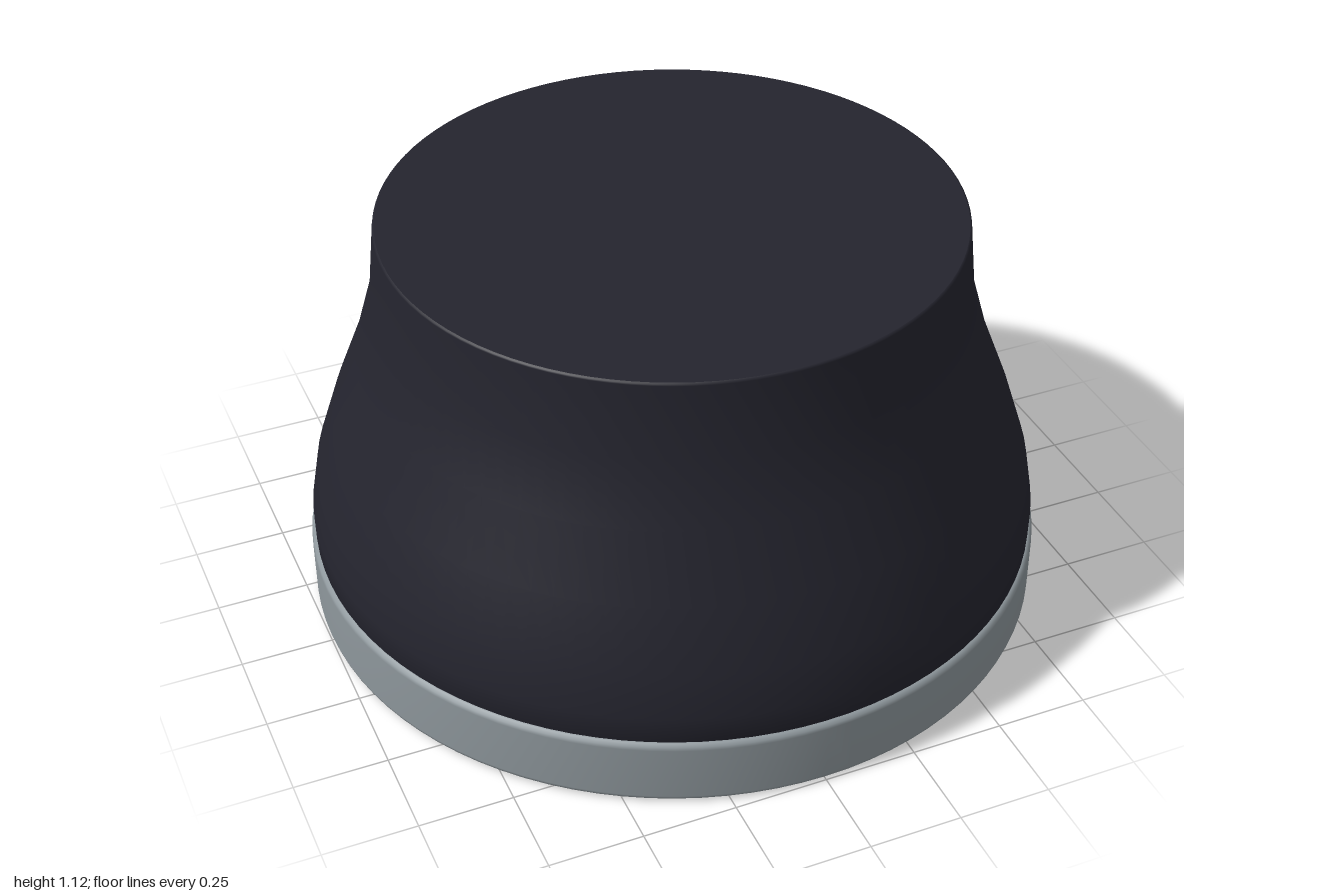
import * as THREE from 'three';

const SEGMENTS = 96;

// Smooth solid of revolution from [radius, height] pairs, bottom to top
function turned(name, profile, material) {
  const points = profile.map(([r, y]) => new THREE.Vector2(r, y));
  const mesh = new THREE.Mesh(new THREE.LatheGeometry(points, SEGMENTS), material);
  mesh.name = name;
  return mesh;
}

export function createModel() {
  const rubber = new THREE.MeshStandardMaterial({ color: 0x24242e });
  rubber.name = 'dark rubber';
  const metal = new THREE.MeshStandardMaterial({ color: 0x8e979c });
  metal.name = 'grey metal';

  const model = new THREE.Group();
  model.name = 'knob';

  // Base ring: short disc with small softened edges
  model.add(turned('base', [
    [0, 0], [0.98, 0], [0.99, 0.003], [0.997, 0.01], [1, 0.02],
    [1, 0.175], [0.997, 0.184], [0.99, 0.19], [0.98, 0.192], [0, 0.192],
  ], metal));

  // Body: flared skirt narrowing to a flat-topped grip
  model.add(turned('body', [
    [0.97, 0.188], [0.988, 0.194], [0.989, 0.27], [0.968, 0.39], [0.912, 0.56],
    [0.841, 0.74], [0.789, 0.92], [0.769, 1.115], [0.768, 1.12], [0.764, 1.122],
  ], rubber));

  // Flat top face
  const cap = new THREE.Mesh(new THREE.CircleGeometry(0.764, SEGMENTS), rubber);
  cap.name = 'topFace';
  cap.rotation.x = -Math.PI / 2;
  cap.position.y = 1.122;
  model.add(cap);

  return model;
}
